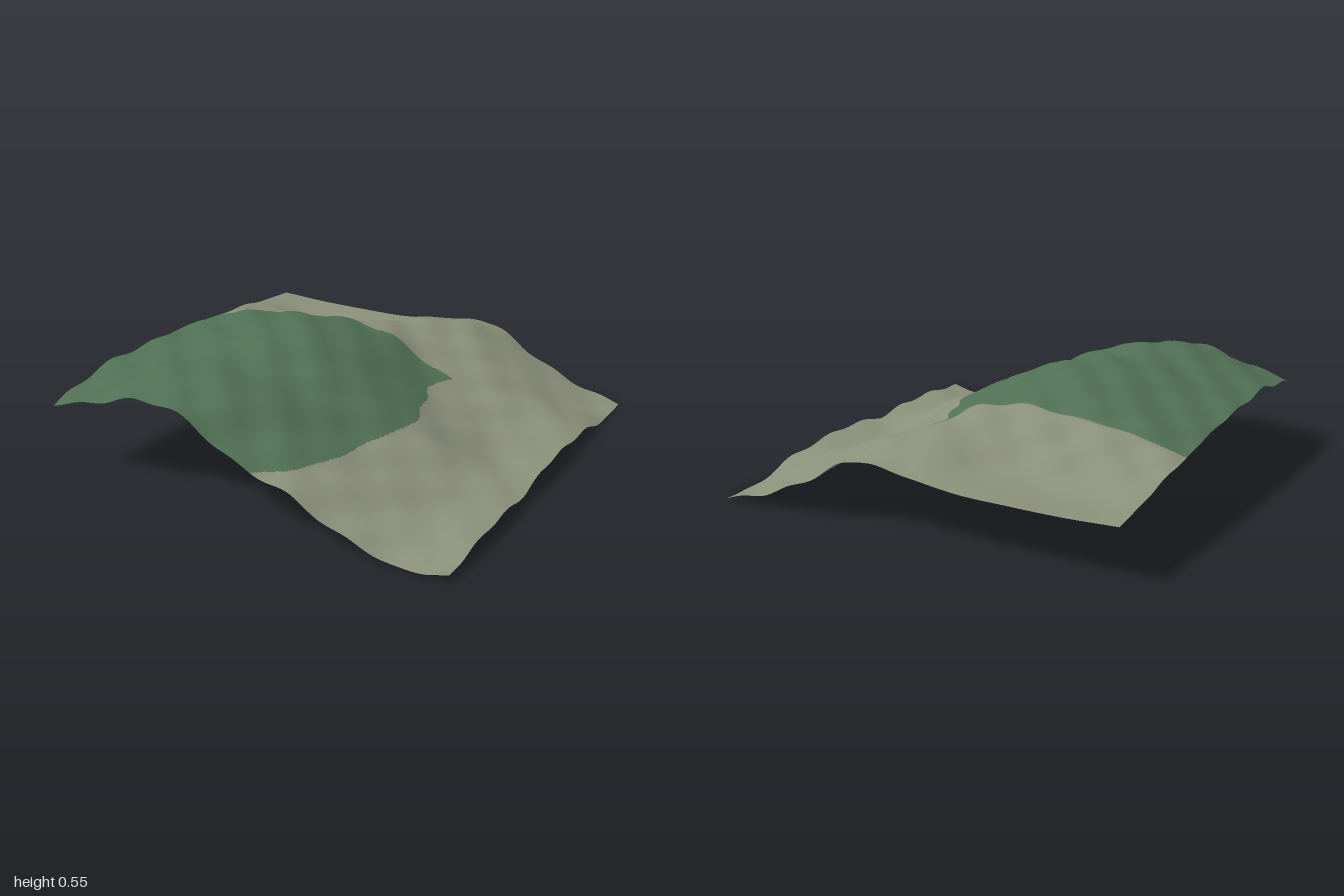
import * as THREE from 'three';

// Control heights, rows from z = -1 (back) to z = 1 (front), columns from x = -1 to x = 1
const HEIGHTS = [
  [0.295, 0.285, 0.285, 0.29, 0.32, 0.345, 0.225, 0.10, 0.04],
  [0.325, 0.292, 0.292, 0.325, 0.41, 0.38, 0.25, 0.125, 0.03],
  [0.36, 0.38, 0.40, 0.43, 0.44, 0.345, 0.255, 0.155, 0.09],
  [0.39, 0.46, 0.505, 0.515, 0.475, 0.325, 0.215, 0.12, 0.105],
  [0.41, 0.475, 0.545, 0.57, 0.495, 0.36, 0.215, 0.10, 0.105],
  [0.43, 0.495, 0.555, 0.56, 0.50, 0.38, 0.255, 0.135, 0.08],
  [0.435, 0.49, 0.53, 0.525, 0.455, 0.335, 0.22, 0.11, 0.085],
  [0.42, 0.48, 0.54, 0.53, 0.435, 0.305, 0.175, 0.08, 0.085],
  [0.37, 0.435, 0.505, 0.455, 0.31, 0.23, 0.11, 0.035, 0.06],
];

// Smooth spline through evenly spaced values, u in control steps
function spline(values, u) {
  const last = values.length - 1;
  const i = Math.min(Math.floor(u), last - 1);
  const t = u - i;
  const b = values[i], c = values[i + 1];
  const a = i > 0 ? values[i - 1] : 2 * b - c;
  const d = i + 2 <= last ? values[i + 2] : 2 * c - b;
  return b + 0.5 * t * (c - a + t * (2 * a - 5 * b + 4 * c - d + t * (3 * (b - c) + d - a)));
}

// Diagonal erosion ripples, fading out on the flat back corner
function ripple(x, z) {
  const plain = THREE.MathUtils.smoothstep(z + Math.max(x, 0) * 1.5, -0.9, -0.45);
  const west = 1 - 0.6 * THREE.MathUtils.smoothstep(x, -0.2, 0.5);
  const along = 0.006 * Math.sin(24 * (x + 0.85 * z) + 0.6) + 0.004 * Math.sin(13 * (x + 0.8 * z) + 2);
  const across = 0.006 * Math.sin(21 * (x - 0.85 * z) + 1);
  return plain * (along + west * across);
}

function height(x, z) {
  const rows = HEIGHTS.map((row) => spline(row, (x + 1) * 4));
  return spline(rows, (z + 1) * 4) + ripple(x, z);
}

export function createModel() {
  const group = new THREE.Group();
  group.name = 'hillTerrain';

  const grass = new THREE.MeshStandardMaterial({ color: 0x507054, side: THREE.DoubleSide });
  grass.name = 'grass green';
  const stone = new THREE.MeshStandardMaterial({ color: 0x8b907a, side: THREE.DoubleSide });
  stone.name = 'stone khaki';

  // Undulating sheet
  const sheet = new THREE.PlaneGeometry(2, 2, 220, 220).rotateX(-Math.PI / 2);
  const p = sheet.attributes.position;
  for (let i = 0; i < p.count; i++) p.setY(i, height(p.getX(i), p.getZ(i)));
  sheet.computeBoundingBox();
  sheet.translate(0, -sheet.boundingBox.min.y, 0);
  sheet.computeVertexNormals();

  // Grass covers the high ground in front of the back line, stone the rest
  const grassFaces = [], stoneFaces = [];
  const index = sheet.index.array;
  for (let f = 0; f < index.length; f += 3) {
    const face = [index[f], index[f + 1], index[f + 2]];
    const mean = (get) => face.reduce((sum, i) => sum + get(i), 0) / 3;
    const isGrass = mean((i) => p.getY(i)) > 0.257 && mean((i) => p.getZ(i)) > -0.342;
    (isGrass ? grassFaces : stoneFaces).push(...face);
  }

  const addCover = (name, faces, material) => {
    const geometry = new THREE.BufferGeometry();
    geometry.setAttribute('position', p);
    geometry.setAttribute('normal', sheet.attributes.normal);
    geometry.setIndex(faces);
    const mesh = new THREE.Mesh(geometry, material);
    mesh.name = name;
    group.add(mesh);
  };
  addCover('grassyHill', grassFaces, grass);
  addCover('stonySlope', stoneFaces, stone);
  return group;
}
